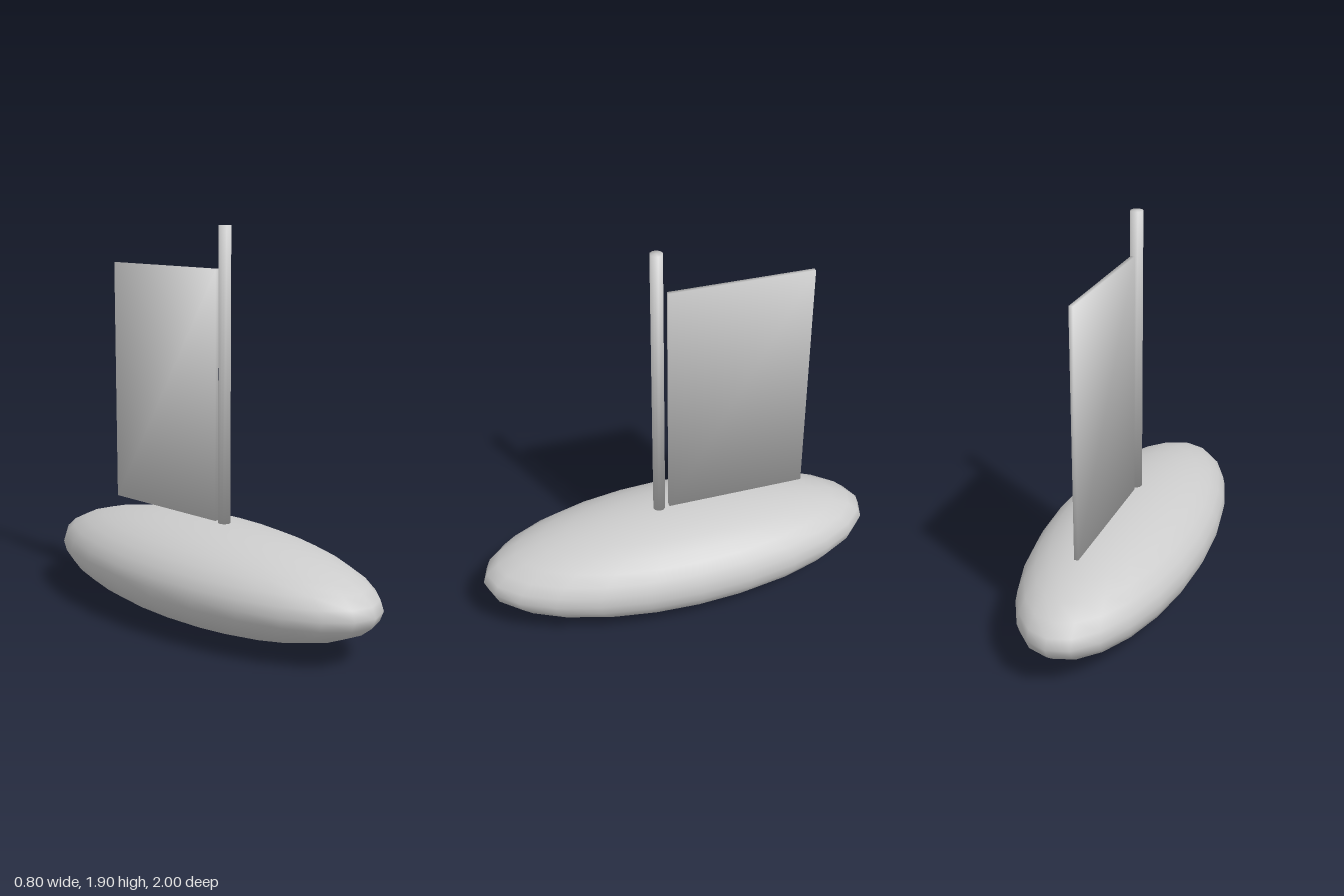
import * as THREE from 'three';

// Averages the distinct normals that meet at each corner, for soft shading across edges
function softenNormals(geometry) {
  const { position, normal } = geometry.attributes;
  const key = (v) => v.toArray().map((n) => Math.round(n * 1e4)).join();
  const corners = new Map();
  const p = new THREE.Vector3();
  for (let i = 0; i < position.count; i++) {
    const id = key(p.fromBufferAttribute(position, i));
    if (!corners.has(id)) corners.set(id, new Map());
    const n = new THREE.Vector3().fromBufferAttribute(normal, i);
    corners.get(id).set(key(n), n);
  }
  for (let i = 0; i < position.count; i++) {
    const sum = new THREE.Vector3();
    corners.get(key(p.fromBufferAttribute(position, i))).forEach((n) => sum.add(n));
    normal.setXYZ(i, ...sum.normalize().toArray());
  }
  return geometry;
}

export function createModel() {
  const group = new THREE.Group();
  group.name = 'sailboat';

  const paleGrey = new THREE.MeshStandardMaterial({ color: 0xcccccc });
  paleGrey.name = 'paleGrey';

  const add = (name, geometry, y, z) => {
    const mesh = new THREE.Mesh(geometry, paleGrey);
    mesh.name = name;
    mesh.position.set(0, y, z);
    group.add(mesh);
  };

  // Hull: a long flattened ellipsoid
  add('hull', new THREE.SphereGeometry(1, 24, 16).scale(0.4, 0.25, 1), 0.25, 0);

  // Mast: a round pole standing just ahead of the middle
  add('mast', softenNormals(new THREE.CylinderGeometry(0.03, 0.03, 1.4, 12)), 1.2, 0.1);

  // Sail: a thin upright panel behind the mast
  add('sail', softenNormals(new THREE.BoxGeometry(0.02, 1.2, 0.7)), 1.1, -0.3);

  return group;
}
